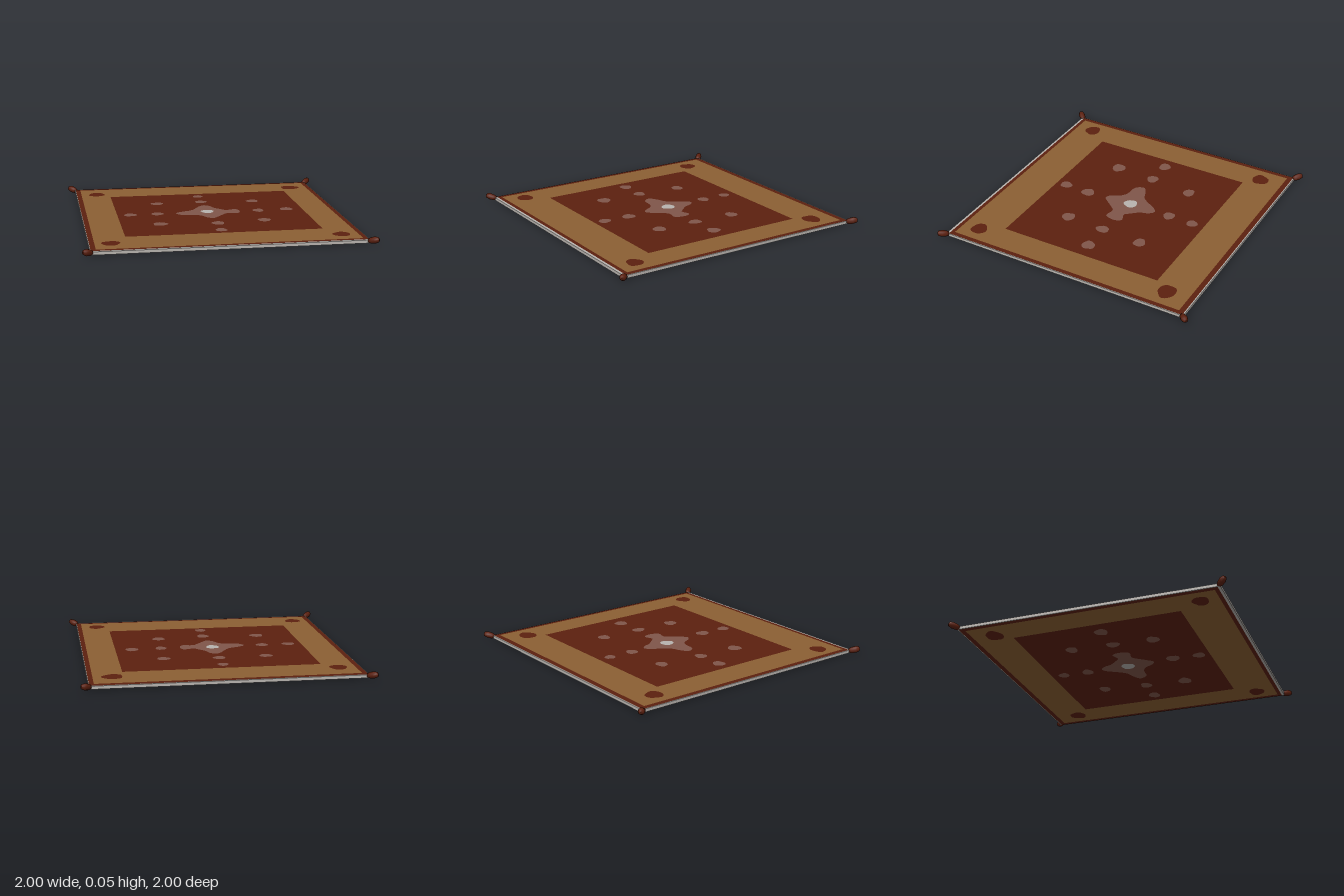
import * as THREE from 'three';

const mat = (name, color) => {
  const m = new THREE.MeshStandardMaterial({ color });
  m.name = name;
  return m;
};

export function createModel() {
  const maroon = mat('maroon wool', 0x5c200f);
  const tan = mat('tan wool', 0x8c6033);
  const rose = mat('dusty rose wool', 0x80564a);
  const pale = mat('pale grey wool', 0xb8b4af);

  const rug = new THREE.Group();
  rug.name = 'rug';
  const add = (parent, name, geo, material) => {
    const mesh = new THREE.Mesh(geo, material);
    mesh.name = name;
    parent.add(mesh);
    return mesh;
  };

  // Pale slab whose edge shows round the pattern
  const midY = 0.017, half = 0.011;
  add(rug, 'slab', new THREE.BoxGeometry(1.89, half * 2, 1.894), pale).position.y = midY;

  // Flat outlines in (x, z), laid facing up
  const outline = (points) => new THREE.Shape(points.map(([x, z]) => new THREE.Vector2(x, -z)));
  const rect = (x0, x1, z0, z1) => outline([[x0, z1], [x1, z1], [x1, z0], [x0, z0]]);
  const blob = ([x, z, rx, rz], seed) => {
    const pts = [];
    for (let i = 0; i < 20; i++) {
      const a = (i / 20) * Math.PI * 2;
      const r = 0.96 + 0.06 * Math.sin(3 * a + seed * 1.7) + 0.03 * Math.sin(5 * a + seed);
      pts.push([x + rx * r * Math.cos(a), z + rz * r * Math.sin(a)]);
    }
    return outline(pts);
  };

  const medallionPoints = [
    [-0.01, -0.23], [0.03, -0.2], [0.05, -0.14], [0.1, -0.08], [0.13, -0.05], [0.2, -0.07],
    [0.225, -0.02], [0.2, 0.06], [0.12, 0.05], [0.08, 0.09], [0.04, 0.14], [0, 0.18],
    [-0.04, 0.16], [-0.08, 0.09], [-0.13, 0.06], [-0.22, 0.05], [-0.255, -0.01], [-0.2, -0.05],
    [-0.13, -0.08], [-0.08, -0.15], [-0.05, -0.2],
  ];
  const medallion = new THREE.Shape(new THREE.CatmullRomCurve3(
    medallionPoints.map(([x, z]) => new THREE.Vector3(x, -z, 0)), true,
  ).getPoints(60).slice(0, -1).map((p) => new THREE.Vector2(p.x, p.y)));

  // Spots as x, z, radius along x, radius along z
  const cornerSpots = [
    [-0.785, -0.73, 0.064, 0.065], [0.775, -0.74, 0.075, 0.065],
    [-0.795, 0.76, 0.066, 0.06], [0.79, 0.77, 0.064, 0.06],
  ];
  const fieldSpots = [
    [-0.01, -0.535, 0.04, 0.043], [-0.015, -0.345, 0.047, 0.044], [-0.355, -0.335, 0.05, 0.043],
    [0.38, -0.315, 0.05, 0.045], [-0.59, -0.01, 0.05, 0.045], [-0.39, -0.01, 0.048, 0.044],
    [0.365, -0.005, 0.042, 0.052], [0.58, -0.015, 0.05, 0.05], [-0.405, 0.295, 0.054, 0.052],
    [0.35, 0.29, 0.05, 0.05], [0.005, 0.33, 0.047, 0.053], [-0.005, 0.525, 0.042, 0.048],
  ];

  // Woven face: thin layers stacked from border to centre
  const layers = [
    ['border', rect(-0.94, 0.94, -0.938, 0.928), maroon, 1],
    ['band', rect(-0.905, 0.908, -0.9, 0.9), tan, 2],
    ['field', rect(-0.685, 0.7, -0.628, 0.605), maroon, 3],
    ['cornerSpots', cornerSpots.map(blob), maroon, 3],
    ['fieldSpots', fieldSpots.map(blob), rose, 4],
    ['medallion', medallion, rose, 4],
    ['centreSpot', blob([-0.015, -0.025, 0.05, 0.052], 2), pale, 5],
  ];
  const makeFace = (name) => {
    const face = new THREE.Group();
    face.name = name;
    face.position.y = midY;
    for (const [part, shape, material, level] of layers) {
      const geo = new THREE.ShapeGeometry(shape).rotateX(-Math.PI / 2);
      add(face, part, geo, material).position.y = half + level * 0.001;
    }
    rug.add(face);
    return face;
  };
  makeFace('topPattern');
  makeFace('bottomPattern').rotation.z = Math.PI; // same weave seen from below

  // Tassels rising outward from each corner
  const profile = [[0, 0], [0.015, 0], [0.022, 0.02], [0.024, 0.05], [0.018, 0.075], [0, 0.083]]
    .map(([r, y]) => new THREE.Vector2(r, y));
  const tasselGeo = new THREE.LatheGeometry(profile, 10);
  for (const sx of [-1, 1]) {
    for (const sz of [-1, 1]) {
      const tassel = add(rug, 'tassel', tasselGeo, maroon);
      tassel.position.set(sx * 0.935, 0.02, sz * 0.935);
      const dir = new THREE.Vector3(sx, 0.35, sz).normalize();
      tassel.quaternion.setFromUnitVectors(new THREE.Vector3(0, 1, 0), dir);
    }
  }
  return rug;
}
